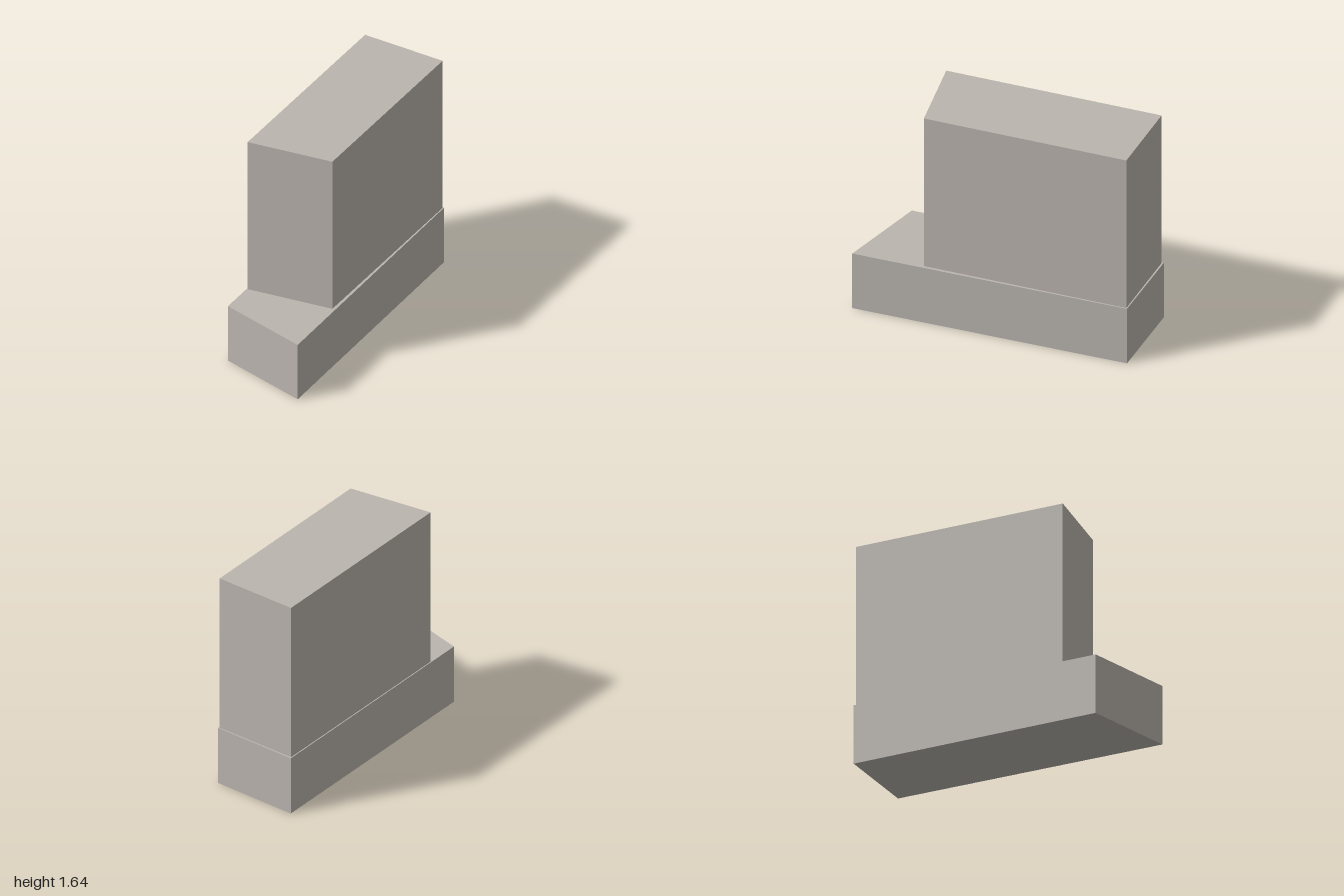
import * as THREE from 'three';

// Vertical prism over a footprint of [x, z] corners
function prism(name, corners, bottom, top, material) {
  const shape = new THREE.Shape(corners.map(([x, z]) => new THREE.Vector2(x, -z)));
  const geometry = new THREE.ExtrudeGeometry(shape, { depth: top - bottom, bevelEnabled: false });
  geometry.rotateX(-Math.PI / 2);
  geometry.translate(0, bottom, 0);
  const mesh = new THREE.Mesh(geometry, material);
  mesh.name = name;
  return mesh;
}

export function createModel() {
  const stone = new THREE.MeshStandardMaterial({ color: 0xbbb5af });
  stone.name = 'warm grey';

  const model = new THREE.Group();
  model.name = 'building';

  // Low base block with a skewed front end
  model.add(prism('lowerBlock',
    [[-0.822, 0.445], [-0.418, 1], [0.822, -0.583], [0.335, -1]], 0, 0.442, stone));

  // Tall block set slightly inside the base, leaving a terrace at the front end
  model.add(prism('upperBlock',
    [[-0.657, 0.25], [-0.118, 0.58], [0.811, -0.582], [0.333, -0.985]], 0.442, 1.638, stone));

  return model;
}
